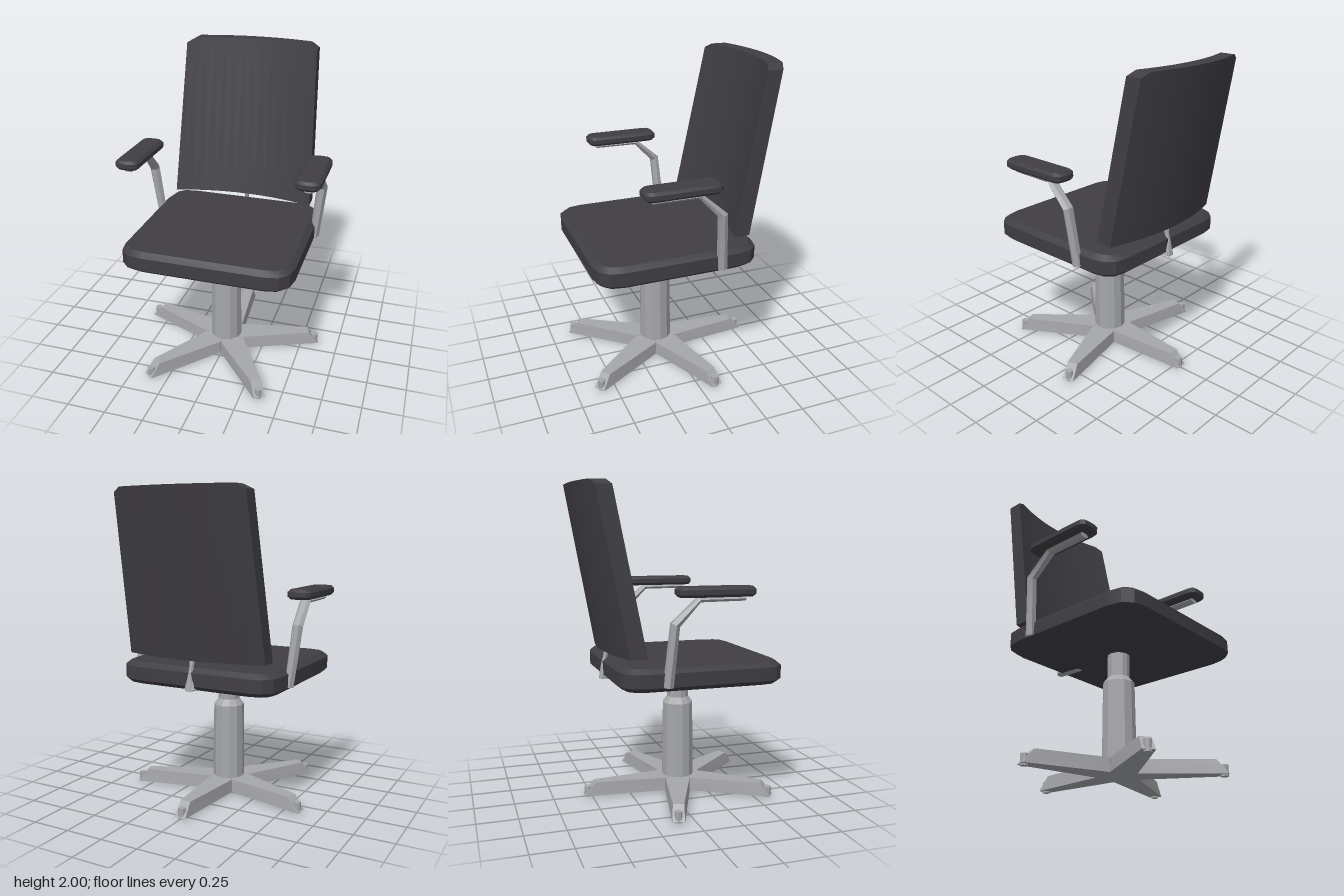
import * as THREE from 'three';
import { toCreasedNormals } from 'three/addons/utils/BufferGeometryUtils.js';

const V = (x, y, z) => new THREE.Vector3(x, y, z);

// Skin over a list of equal rings (clockwise about the direction of travel), capped at both ends
function loft(rings, crease = 0.4) {
  const pos = [], n = rings[0].length, last = rings[rings.length - 1];
  const tri = (...pts) => pts.forEach((p) => pos.push(p.x, p.y, p.z));
  for (let i = 0; i < rings.length - 1; i++) {
    const a = rings[i], b = rings[i + 1];
    for (let j = 0; j < n; j++) {
      const k = (j + 1) % n;
      tri(a[j], b[j], a[k]);
      tri(a[k], b[j], b[k]);
    }
  }
  for (let j = 1; j < n - 1; j++) {
    tri(rings[0][0], rings[0][j], rings[0][j + 1]);
    tri(last[0], last[j + 1], last[j]);
  }
  const g = new THREE.BufferGeometry();
  g.setAttribute('position', new THREE.Float32BufferAttribute(pos, 3));
  return toCreasedNormals(g, crease);
}

// Six-sided bar through points [x, y, z, halfWidth, halfThickness]
function bar(path) {
  const pts = path.map((p) => V(p[0], p[1], p[2]));
  return loft(pts.map((p, i) => {
    const t = V(0, 0, 0);
    if (i > 0) t.add(p.clone().sub(pts[i - 1]).normalize());
    if (i < pts.length - 1) t.add(pts[i + 1].clone().sub(p).normalize());
    t.normalize();
    const side = V(1, 0, 0).addScaledVector(t, -t.x).normalize();
    const up = side.clone().cross(t);
    return Array.from({ length: 6 }, (_, j) => {
      const a = (j * Math.PI) / 3;
      return p.clone().addScaledVector(side, Math.cos(a) * path[i][3])
        .addScaledVector(up, Math.sin(a) * path[i][4] * 1.15);
    });
  }));
}

// Horizontal cushion with cut corners and chamfered edges, resting on y = 0
function cushion(w, d, h, r, bevel, bevelH) {
  const x = w / 2, y = d / 2, s = new THREE.Shape();
  s.moveTo(-x + r, -y);
  s.lineTo(x - r, -y);
  s.quadraticCurveTo(x, -y, x, -y + r);
  s.lineTo(x, y - r);
  s.quadraticCurveTo(x, y, x - r, y);
  s.lineTo(-x + r, y);
  s.quadraticCurveTo(-x, y, -x, y - r);
  s.lineTo(-x, -y + r);
  s.quadraticCurveTo(-x, -y, -x + r, -y);
  const g = new THREE.ExtrudeGeometry(s, {
    depth: h - 2 * bevelH, curveSegments: 3, bevelSegments: 1,
    bevelSize: bevel, bevelThickness: bevelH, bevelOffset: -bevel,
  });
  g.translate(0, 0, bevelH).rotateX(-Math.PI / 2);
  return toCreasedNormals(g, 0.4);
}

export function createModel() {
  const model = new THREE.Group();
  const upholstery = new THREE.MeshStandardMaterial({ color: 0x403e43 });
  upholstery.name = 'darkUpholstery';
  const metal = new THREE.MeshStandardMaterial({ color: 0xa6a7aa });
  metal.name = 'greyMetal';
  const add = (name, geo, mat, parent = model) => {
    const m = new THREE.Mesh(geo, mat);
    m.name = name;
    parent.add(m);
    return m;
  };

  // Seat
  add('seat', cushion(1.085, 1.045, 0.14, 0.16, 0.035, 0.028), upholstery).position.set(0, 0.78, 0.103);

  // Backrest: leaning curved slab, narrower at the top, upper corners clipped
  const us = [-1];
  for (let i = 0; i <= 12; i++) us.push(-0.88 + (1.76 * i) / 12);
  us.push(1);
  const slab = us.map((u) => {
    const at = (y, depth) => {
      const t = (y - 0.97) / 1.03;
      return V(u * (0.476 - 0.037 * t), y, -0.33 - 0.2 * t + 0.077 * u * u - depth);
    };
    const top = Math.abs(u) === 1 ? 1.97 : 2;
    return [at(0.97, 0), at(top, 0), at(top, 0.1), at(0.97, 0.105)];
  });
  add('backrest', loft(slab), upholstery);

  // Bracket joining seat and backrest
  add('backBracket', bar([
    [0, 0.778, -0.25, 0.022, 0.005], [0, 0.782, -0.36, 0.03, 0.008],
    [0, 0.79, -0.425, 0.035, 0.018], [0, 0.87, -0.413, 0.017, 0.014],
    [0, 0.92, -0.4, 0.014, 0.013], [0, 0.99, -0.385, 0.024, 0.016],
  ]), metal);

  // Armrests
  for (const s of [1, -1]) {
    const arm = new THREE.Group();
    arm.name = s > 0 ? 'leftArmrest' : 'rightArmrest';
    model.add(arm);
    add('armPad', cushion(0.157, 0.48, 0.06, 0.06, 0.017, 0.016), upholstery, arm)
      .position.set(s * 0.563, 1.335, 0.13);
    add('armSupport', bar([
      [s * 0.565, 1.322, 0.31, 0.035, 0.014], [s * 0.565, 1.32, 0.025, 0.035, 0.016],
      [s * 0.577, 1.18, -0.122, 0.035, 0.027], [s * 0.538, 0.81, -0.15, 0.03, 0.029],
    ]), metal, arm);
  }

  // Column, star base and feet share one centre
  const base = new THREE.Group();
  base.name = 'base';
  base.position.z = 0.09;
  model.add(base);
  const profile = [[0, 0.05], [0.106, 0.05], [0.1, 0.59], [0.07, 0.63], [0.07, 0.79], [0, 0.79]]
    .map(([x, y]) => new THREE.Vector2(x, y));
  add('column', toCreasedNormals(new THREE.LatheGeometry(profile, 12), 0.4), metal, base);

  // Leg section: radial position and half width at bottom and top
  const section = (zb, wb, zt, wt) => [V(-wb, 0.01, zb), V(-wt, 0.096, zt), V(wt, 0.096, zt), V(wb, 0.01, zb)];
  const legGeo = loft([
    section(0, 0.001, 0, 0.001),
    section(0.113, 0.082, 0.113, 0.08),
    section(0.64, 0.038, 0.57, 0.034),
  ]);
  const footGeo = toCreasedNormals(new THREE.CylinderGeometry(0.024, 0.024, 0.068, 8), 0.4);
  for (let i = 0; i < 5; i++) {
    const leg = new THREE.Group();
    leg.name = 'baseLeg' + (i + 1);
    leg.rotation.y = Math.PI + (i * Math.PI * 2) / 5;
    base.add(leg);
    add('legBeam', legGeo, metal, leg);
    add('foot', footGeo, metal, leg).position.set(0, 0.034, 0.615);
  }
  return model;
}
